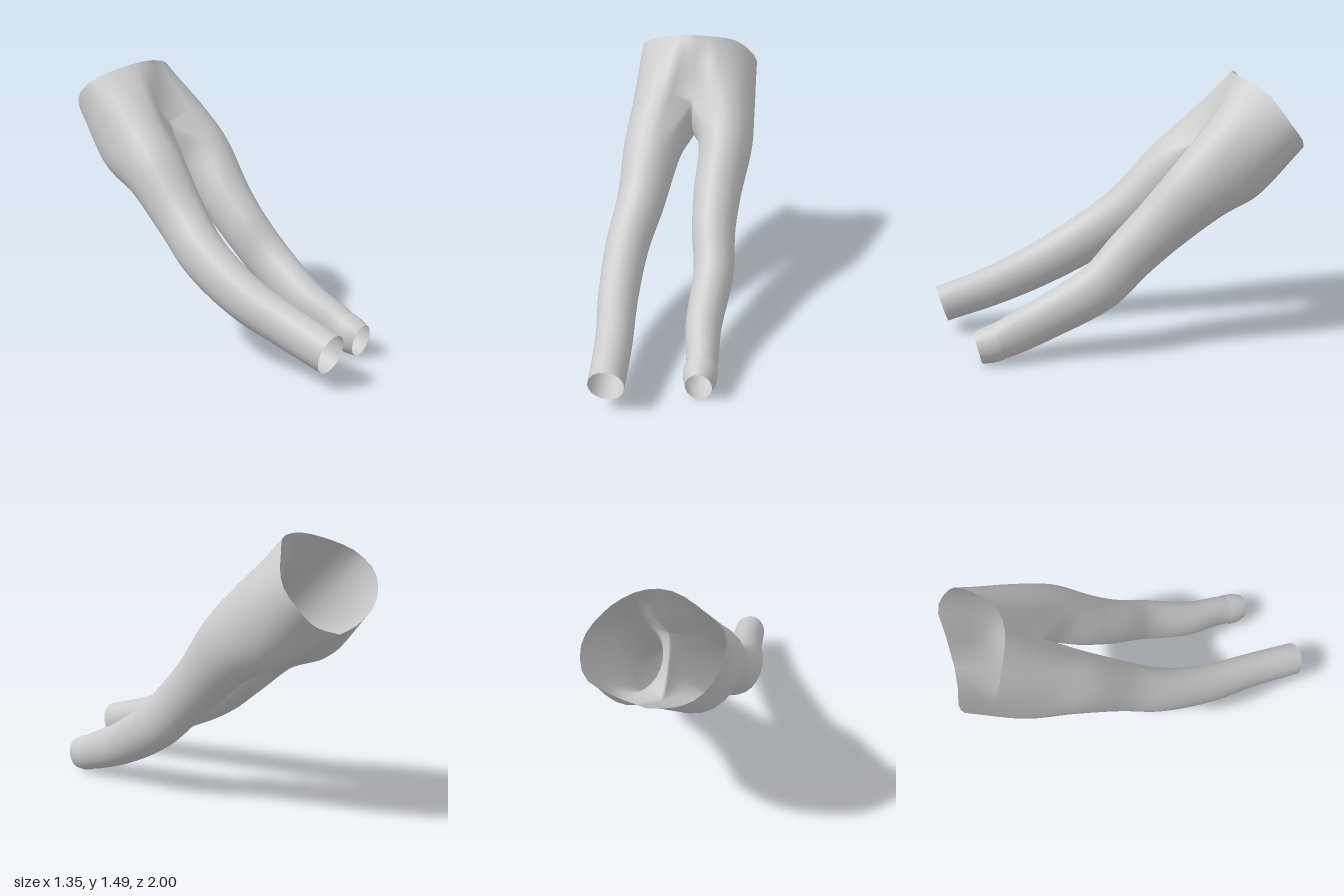
import * as THREE from 'three';
import { mergeVertices } from 'three/addons/utils/BufferGeometryUtils.js';

const V = (x, y, z) => new THREE.Vector3(x, y, z);
const COLS = 24;      // points round a leg
const OUTER = 16;     // columns 0..16 run front seam -> outer side -> back seam
const STEPS = 5;      // rows between key rings
const SIDE = V(0.88, 0, -0.47).normalize();   // towards the wearer's left
const DOWN = V(0.33, -0.64, 0.69).normalize(); // along the body towards the feet
const FRONT = new THREE.Vector3().crossVectors(DOWN, SIDE).normalize();

// Waist edge, each half from the front seam to the back seam
const waistFront = V(-0.24, 1.49, -0.59), waistBack = V(-0.38, 1.02, -0.87);
const waist = {
  left: [waistFront, V(-0.17, 1.48, -0.65), V(-0.1, 1.43, -0.79), V(-0.05, 1.29, -0.93),
    V(-0.12, 1.16, -1.0), V(-0.22, 1.08, -0.95), waistBack],
  right: [waistFront, V(-0.32, 1.485, -0.56), V(-0.48, 1.44, -0.55), V(-0.61, 1.38, -0.56),
    V(-0.67, 1.28, -0.67), V(-0.62, 1.14, -0.77), V(-0.5, 1.05, -0.82), waistBack],
};

// Leg rings from hip to hem: centre x, y, z, half width, half depth
const legs = {
  left: [[-0.08, 1.04, -0.62, 0.19, 0.24], [0.04, 0.91, -0.48, 0.155, 0.195], [0.125, 0.7, -0.28, 0.135, 0.158],
    [0.2, 0.55, -0.14, 0.122, 0.145], [0.3, 0.39, 0.0, 0.112, 0.138], [0.43, 0.215, 0.28, 0.097, 0.122],
    [0.53, 0.14, 0.43, 0.085, 0.11], [0.575, 0.105, 0.51, 0.082, 0.1]],
  right: [[-0.37, 1.03, -0.46, 0.2, 0.24], [-0.3, 0.88, -0.23, 0.165, 0.185], [-0.21, 0.66, 0.0, 0.135, 0.15],
    [-0.14, 0.5, 0.21, 0.12, 0.142], [0.0, 0.345, 0.47, 0.108, 0.128], [0.155, 0.245, 0.7, 0.098, 0.115],
    [0.3, 0.165, 0.945, 0.094, 0.106]],
};
const crotchCentre = V(-0.225, 1.035, -0.54);

// Elliptical rings set square to the path through their centres
function ellipseRings(keys, out) {
  const centres = keys.map(k => V(k[0], k[1], k[2]));
  return keys.map(([, , , a, b], i) => {
    const t = centres[Math.min(i + 1, keys.length - 1)].clone()
      .sub(centres[Math.max(i - 1, 0)]).normalize();
    if (i === 0 && keys.length > 3) t.copy(DOWN);
    const across = SIDE.clone().addScaledVector(t, -SIDE.dot(t)).normalize();
    const up = new THREE.Vector3().crossVectors(t, across);
    return Array.from({ length: COLS }, (_, j) => {
      const ang = Math.PI / 3 + (j / COLS) * Math.PI * 2;
      return centres[i].clone().addScaledVector(across, -out * a * Math.cos(ang))
        .addScaledVector(up, b * Math.sin(ang));
    });
  });
}

// Saddle under the body that both legs share, from back seam (u=0) to front seam (u=1)
function saddle(u) {
  return crotchCentre.clone()
    .addScaledVector(FRONT, -0.025 - 0.175 * Math.cos(u * Math.PI))
    .addScaledVector(DOWN, 0.1 * Math.sin(u * Math.PI));
}

// Smooth columns of one half: torso rows and leg rows
function halfGrid(name, out) {
  const rings = ellipseRings(legs[name], out);
  for (let j = OUTER; j <= COLS; j++) rings[0][j % COLS] = saddle((j - OUTER) / (COLS - OUTER));
  const rim = new THREE.CatmullRomCurve3(waist[name]).getSpacedPoints(OUTER);
  const torso = [], leg = [];
  for (let j = 0; j < COLS; j++) {
    const column = rings.map(r => r[j]);
    const onTorso = j <= OUTER;
    const pts = onTorso ? [rim[j], ...column] : column;
    const spans = pts.length - 1;
    const all = new THREE.CatmullRomCurve3(pts).getPoints(spans * STEPS * 2);
    const cut = onTorso ? STEPS * 2 : 0;
    if (onTorso) torso.push(all.slice(0, cut + 1));
    leg.push(all.slice(cut));
  }
  return { torso, leg };
}

// Skin neighbouring columns; flip keeps the mirrored half facing outwards
function skin(pos, columns, closed, flip) {
  const n = columns.length;
  for (let j = 0; j < (closed ? n : n - 1); j++) {
    const A = columns[j], B = columns[(j + 1) % n];
    for (let r = 0; r < A.length - 1; r++) {
      const tris = [A[r], A[r + 1], B[r], B[r], A[r + 1], B[r + 1]];
      if (flip) tris.reverse();
      for (const p of tris) pos.push(p.x, p.y, p.z);
    }
  }
}

function smoothMesh(pos, name) {
  let g = new THREE.BufferGeometry();
  g.setAttribute('position', new THREE.Float32BufferAttribute(pos, 3));
  g = mergeVertices(g, 1e-4);
  g.computeVertexNormals();
  const mesh = new THREE.Mesh(g, new THREE.MeshStandardMaterial({ color: 0xcccccc, side: THREE.DoubleSide }));
  mesh.name = name;
  return mesh;
}

export function createModel() {
  const group = new THREE.Group();
  group.name = 'trousers';

  // Body and legs as one open cloth surface
  const left = halfGrid('left', 1), right = halfGrid('right', -1);
  for (const j of [0, OUTER]) {
    left.torso[j].forEach((p, r) => {
      p.lerp(right.torso[j][r], 0.5);
      right.torso[j][r].copy(p);
    });
  }
  const pos = [];
  for (const [half, flip] of [[left, false], [right, true]]) {
    skin(pos, half.torso, false, flip);
    skin(pos, half.leg, true, flip);
  }
  group.add(smoothMesh(pos, 'trouserBody'));

  // Loose cuff round the left hem
  const rings = ellipseRings([[0.56, 0.115, 0.485, 0.09, 0.106], [0.59, 0.097, 0.54, 0.088, 0.102],
    [0.615, 0.085, 0.585, 0.07, 0.09]], 1);
  const cuff = [];
  skin(cuff, rings[0].map((_, j) => rings.map(r => r[j])), true, false);
  group.add(smoothMesh(cuff, 'leftCuff'));

  return group;
}
